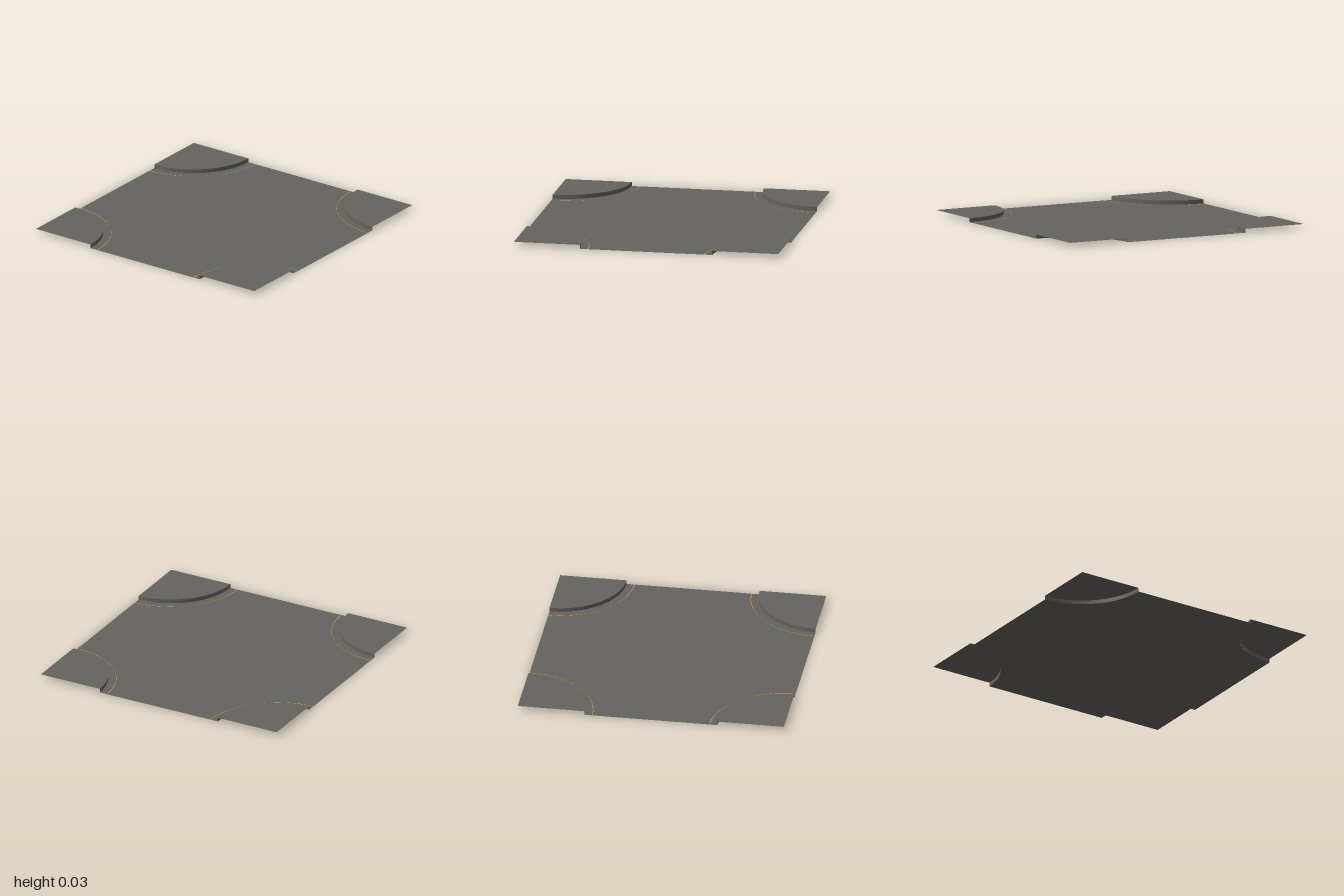
import * as THREE from 'three';

const RADIUS = 0.5, HEIGHT = 0.03, SEGMENTS = 24, LINE_RADIUS = 0.56;

export function createModel() {
  const model = new THREE.Group();
  model.name = 'roadCrossing';

  const asphalt = new THREE.MeshStandardMaterial({ color: 0x656360, side: THREE.DoubleSide });
  asphalt.name = 'asphalt grey';
  const paint = new THREE.MeshStandardMaterial({ color: 0xdd9f2e, side: THREE.DoubleSide });
  paint.name = 'line yellow';

  const add = (parent, name, geometry, material) => {
    const mesh = new THREE.Mesh(geometry, material);
    mesh.name = name;
    parent.add(mesh);
  };

  // Flat cross-shaped road with a rounded bite at each corner
  const road = new THREE.Shape();
  road.moveTo(1, -1 + RADIUS);
  road.lineTo(1, 1 - RADIUS);
  road.absarc(1, 1, RADIUS, -Math.PI / 2, -Math.PI, true);
  road.absarc(-1, 1, RADIUS, 0, -Math.PI / 2, true);
  road.absarc(-1, -1, RADIUS, Math.PI / 2, 0, true);
  road.absarc(1, -1, RADIUS, Math.PI, Math.PI / 2, true);
  add(model, 'road', new THREE.ShapeGeometry(road, SEGMENTS).rotateX(-Math.PI / 2), asphalt);

  // Hairline arc that is widest where it meets the tile edges
  const inner = [], outer = [];
  for (let i = 0; i <= SEGMENTS; i++) {
    const t = i / SEGMENTS, a = Math.PI / 2 * (1 + t);
    const width = 0.001 + 0.004 * Math.cos(Math.PI * t) ** 2;
    const at = (r) => new THREE.Vector2(Math.cos(a) * r, Math.sin(a) * r);
    inner.push(at(LINE_RADIUS - width / 2));
    outer.push(at(LINE_RADIUS + width / 2));
  }
  const line = new THREE.Shape([...outer, ...inner.reverse()]);

  // Raised pavement, kerb face and painted line, repeated at every corner
  const pavementTop = new THREE.CircleGeometry(RADIUS, SEGMENTS, Math.PI / 2, Math.PI / 2)
    .rotateX(-Math.PI / 2).translate(1, HEIGHT, 1);
  const kerbFace = new THREE.CylinderGeometry(RADIUS, RADIUS, HEIGHT, SEGMENTS, 1, true, Math.PI, Math.PI / 2)
    .translate(1, HEIGHT / 2, 1);
  const kerbLine = new THREE.ShapeGeometry(line).rotateX(-Math.PI / 2).translate(1, 0.001, 1);

  for (let i = 0; i < 4; i++) {
    const corner = new THREE.Group();
    corner.name = 'pavementCorner' + (i + 1);
    corner.rotation.y = i * Math.PI / 2;
    add(corner, 'pavementTop', pavementTop, asphalt);
    add(corner, 'kerbFace', kerbFace, asphalt);
    add(corner, 'kerbLine', kerbLine, paint);
    model.add(corner);
  }
  return model;
}
